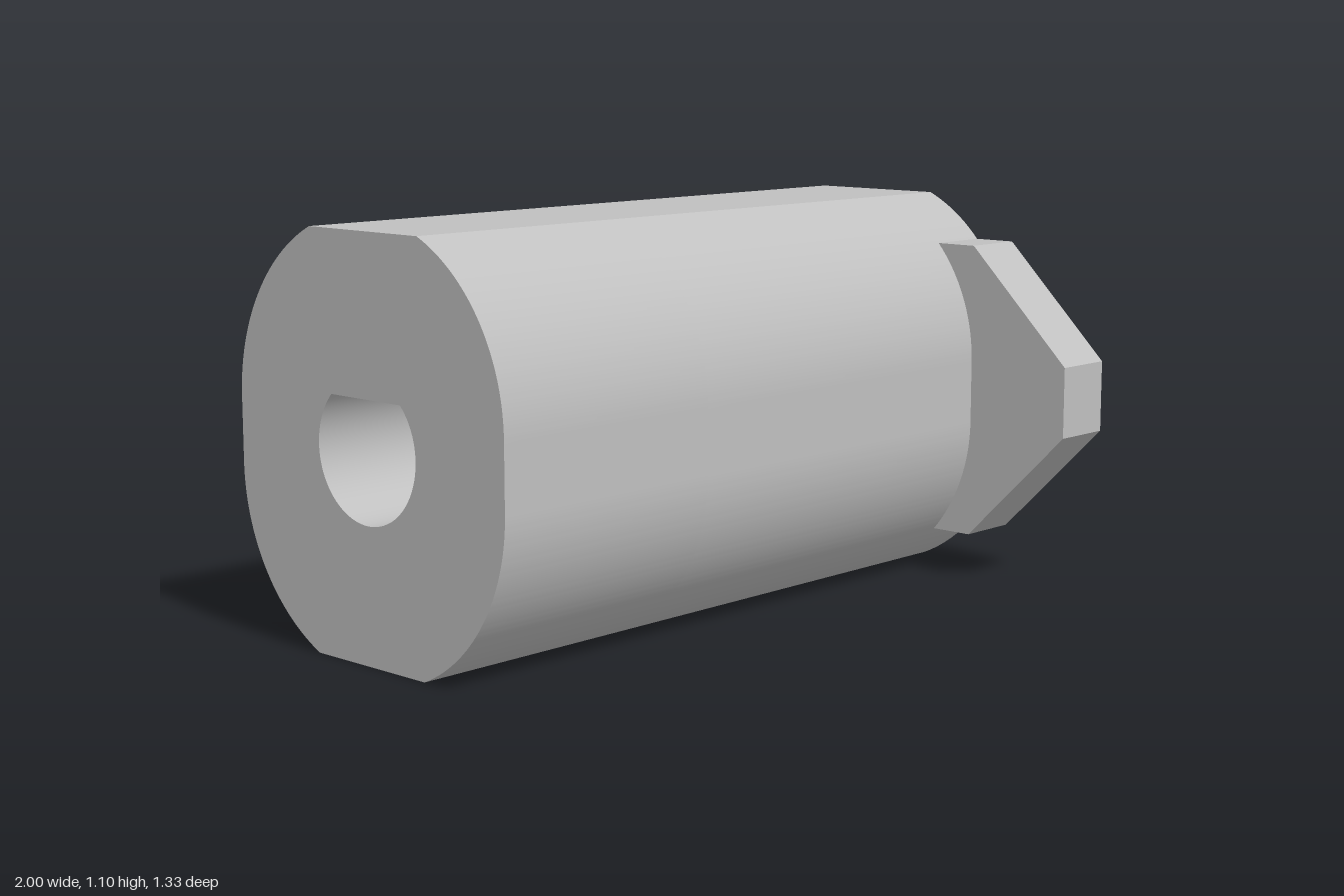
import * as THREE from 'three';
import { toCreasedNormals } from 'three/addons/utils/BufferGeometryUtils.js';

const R = 0.505;        // radius of the rounded sides
const H = 0.5485;       // half height, cut flat at top and bottom
const D = 0.087;        // vertical offset of the side arc centres
const AXIS_Z = -0.16;   // bore axis
const STEP_X = -0.3;    // shoulder where the wide bore meets the narrow one

// Flattened round section, drawn around the bore axis
function bodyShape() {
  const a = Math.asin((H - D) / R);
  const s = new THREE.Shape();
  s.absarc(0, D, R, 0, a, false);
  s.absarc(0, D, R, Math.PI - a, Math.PI, false);
  s.absarc(0, -D, R, Math.PI, Math.PI + a, false);
  s.absarc(0, -D, R, -a, 0, false);
  s.closePath();
  return s;
}

// Teardrop: a circle with a 90 degree point on top
function teardrop(r) {
  const p = new THREE.Path();
  p.moveTo(0, r * Math.SQRT2);
  p.absarc(0, 0, r, Math.PI * 0.75, Math.PI * 2.25, false);
  p.closePath();
  return p;
}

// Pointed tab whose inner edge follows the body's side
function tabShape() {
  const y = 0.42;
  const a = Math.asin((y - D) / R);
  const s = new THREE.Shape();
  s.moveTo(-0.505, y);
  s.lineTo(-0.825, 0.1);
  s.lineTo(-0.825, -0.1);
  s.lineTo(-0.505, -y);
  s.absarc(0, -D, R, Math.PI + a, Math.PI, true);
  s.absarc(0, D, R, Math.PI, Math.PI - a, true);
  s.closePath();
  return s;
}

export function createModel() {
  const group = new THREE.Group();
  const grey = new THREE.MeshStandardMaterial({ color: 0xc0c0c0 });
  grey.name = 'light grey';

  // Extrude a section along x from x0 to x1
  function addPart(name, shape, x0, x1) {
    let g = new THREE.ExtrudeGeometry(shape, {
      depth: x1 - x0, bevelEnabled: false, curveSegments: 36,
    });
    g.translate(0, 0, x0);
    g.rotateY(Math.PI / 2);
    g.translate(0, H, AXIS_Z);
    g = toCreasedNormals(g, 0.3);
    const mesh = new THREE.Mesh(g, grey);
    mesh.name = name;
    group.add(mesh);
  }

  const narrow = bodyShape();
  narrow.holes.push(teardrop(0.187));
  addPart('narrowBoreBody', narrow, -1, STEP_X);

  const wide = bodyShape();
  wide.holes.push(teardrop(0.338));
  addPart('wideBoreBody', wide, STEP_X, 1);

  addPart('frontTab', tabShape(), 0.815, 1);
  return group;
}
